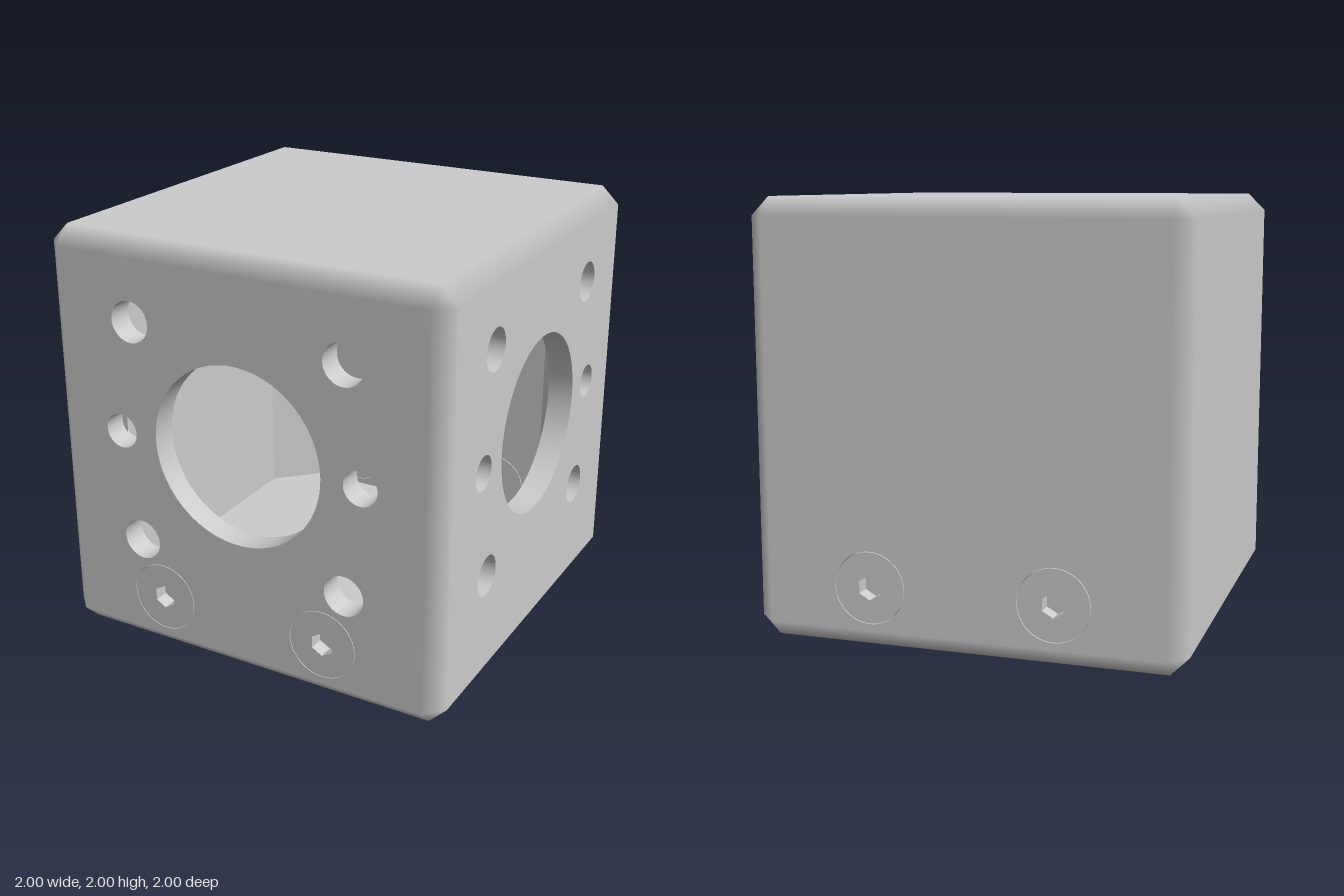
import * as THREE from 'three';
import { toCreasedNormals } from 'three/addons/utils/BufferGeometryUtils.js';

const H = 0.915;      // half width of the flat part of each face
const WALL = 0.12;    // wall thickness

const grey = () => new THREE.MeshStandardMaterial({ color: 0xcccccc });

function add(parent, name, geometry) {
  const mesh = new THREE.Mesh(geometry, grey());
  mesh.name = name;
  parent.add(mesh);
  return mesh;
}

function circle(x, y, r) {
  return new THREE.Path().absarc(x, y, r, 0, Math.PI * 2, true);
}

// Square wall panel with round holes [x, y, r], its outer side at z = 1
function panel(holes, depth = WALL) {
  const s = new THREE.Shape();
  s.moveTo(-H, -H).lineTo(H, -H).lineTo(H, H).lineTo(-H, H).closePath();
  holes.forEach(([x, y, r]) => s.holes.push(circle(x, y, r)));
  const g = new THREE.ExtrudeGeometry(s, { depth, bevelEnabled: false, curveSegments: 40 });
  g.translate(0, 0, 1 - depth);
  return toCreasedNormals(g, 0.6);
}

// Edge strip or corner triangle; every corner carries its face's normal so the shading rolls over
function softFacet(corners) {
  const [a, b, c] = corners.map((k) => k.p);
  const facing = b.clone().sub(a).cross(c.clone().sub(a)).dot(a);
  const list = facing > 0 ? corners : corners.slice().reverse();
  const order = list.length === 4 ? [0, 1, 2, 0, 2, 3] : [0, 1, 2];
  const g = new THREE.BufferGeometry();
  g.setAttribute('position', new THREE.Float32BufferAttribute(order.flatMap((i) => list[i].p.toArray()), 3));
  g.setAttribute('normal', new THREE.Float32BufferAttribute(order.flatMap((i) => list[i].n.toArray()), 3));
  return g;
}

// Point on the face of one axis, at the corner given by three signs
function faceCorner(axis, signs) {
  const p = new THREE.Vector3(...signs).multiplyScalar(H);
  const n = new THREE.Vector3();
  p.setComponent(axis, signs[axis]);
  n.setComponent(axis, signs[axis]);
  return { p, n };
}

// Flush screw head with a hexagonal socket, its face at z = 0
function screw() {
  const group = new THREE.Group();
  group.name = 'screw';
  const s = new THREE.Shape().absarc(0, 0, 0.163, 0, Math.PI * 2, false);
  const hex = [];
  for (let i = 0; i < 6; i++) {
    const t = Math.PI / 6 - (i * Math.PI) / 3;
    hex.push(new THREE.Vector2(Math.cos(t) * 0.057, Math.sin(t) * 0.057));
  }
  s.holes.push(new THREE.Path(hex));
  const head = new THREE.ExtrudeGeometry(s, { depth: 0.07, bevelEnabled: false, curveSegments: 24 });
  head.translate(0, 0, -0.07);
  add(group, 'screwHead', toCreasedNormals(head, 0.5));
  const shank = new THREE.CylinderGeometry(0.163, 0.163, 0.05, 48);
  shank.rotateX(Math.PI / 2).translate(0, 0, -0.095);
  add(group, 'screwShank', shank);
  return group;
}

export function createModel() {
  const model = new THREE.Group();
  model.name = 'enclosure';
  const body = new THREE.Group();
  body.name = 'body';
  const base = new THREE.Group();
  base.name = 'base';
  model.add(body, base);

  // Hole layout, measured from the cube's centre
  const ports = [[0, 0.092, 0.425]];
  const screwHoles = [];
  for (const s of [-1, 1]) {
    ports.push([s * 0.535, 0.625, 0.097], [s * 0.615, 0.092, 0.082], [s * 0.535, -0.44, 0.097]);
    screwHoles.push([s * 0.425, -0.716, 0.166]);
  }

  // Walls, roof and bottom plate
  add(body, 'frontWall', panel([...ports, ...screwHoles]));
  add(body, 'leftWall', panel(ports)).rotation.y = Math.PI / 2;
  add(body, 'backWall', panel(screwHoles)).rotation.y = Math.PI;
  add(body, 'rightWall', panel([])).rotation.y = -Math.PI / 2;
  add(body, 'roof', panel([])).rotation.x = -Math.PI / 2;
  add(base, 'bottomPlate', panel([[0, 0, 0.1]], 0.09)).rotation.x = Math.PI / 2;

  // Softened edges and corners
  for (let axis = 0; axis < 3; axis++) {
    const a = (axis + 1) % 3, b = (axis + 2) % 3;
    for (const sa of [-1, 1]) for (const sb of [-1, 1]) {
      const signs = [0, 0, 0];
      signs[a] = sa;
      signs[b] = sb;
      const low = signs.slice(), high = signs.slice();
      low[axis] = -1;
      high[axis] = 1;
      add(signs[1] < 0 ? base : body, 'softEdge', softFacet(
        [faceCorner(a, low), faceCorner(a, high), faceCorner(b, high), faceCorner(b, low)]));
    }
  }
  for (const x of [-1, 1]) for (const y of [-1, 1]) for (const z of [-1, 1]) {
    add(y < 0 ? base : body, 'softCorner', softFacet([0, 1, 2].map((k) => faceCorner(k, [x, y, z]))));
  }

  // Slanted posts in the inner corners
  const post = new THREE.Shape();
  post.moveTo(0.67, 0.89).lineTo(0.89, 0.67).lineTo(0.89, 0.89).closePath();
  for (let i = 0; i < 4; i++) {
    const g = new THREE.ExtrudeGeometry(post, { depth: 1.8, bevelEnabled: false });
    g.rotateX(-Math.PI / 2).translate(0, -0.91, 0).rotateY((i * Math.PI) / 2);
    add(body, 'cornerPost', g);
  }

  // Screws at the foot of the front and back walls
  for (const side of [0, Math.PI]) {
    const row = new THREE.Group();
    row.name = side ? 'backScrews' : 'frontScrews';
    row.rotation.y = side;
    for (const [x, y] of screwHoles) {
      const part = screw();
      part.position.set(x, y, 1);
      row.add(part);
    }
    base.add(row);
  }

  body.position.y = base.position.y = 1;
  return model;
}
